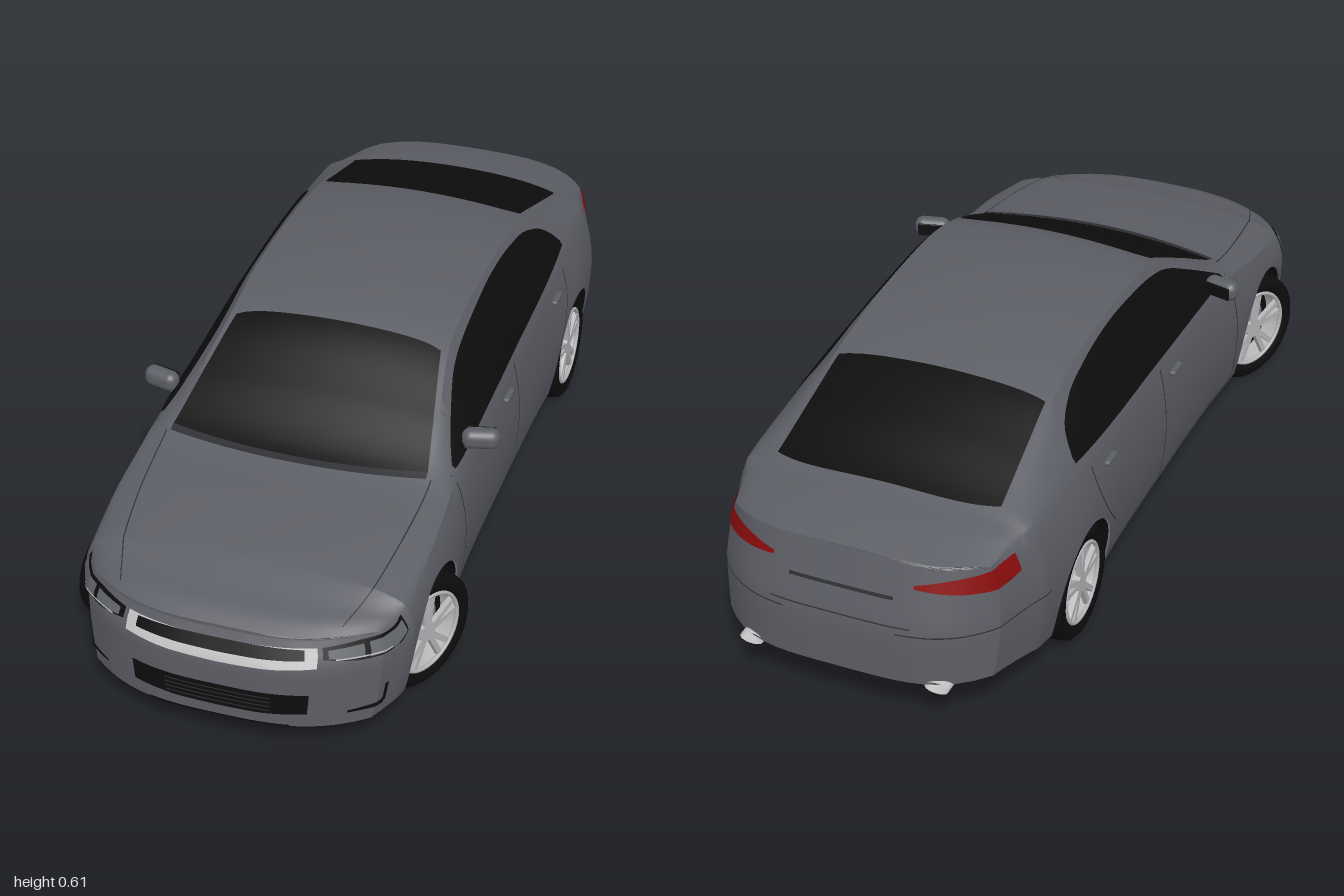
import * as THREE from 'three';
import { toCreasedNormals } from 'three/addons/utils/BufferGeometryUtils.js';
import { RoundedBoxGeometry } from 'three/addons/geometries/RoundedBoxGeometry.js';

const paint = (name, color) => new THREE.MeshStandardMaterial({ name, color, side: THREE.DoubleSide });
const { clamp, lerp } = THREE.MathUtils;

// Body stations: z, half width, belt y, belt x, rail x, rail y, centre-line y
const ROWS = [
  [-1, .325, .39, .30, .25, .402, .412], [-.94, .338, .397, .31, .26, .41, .426],
  [-.87, .352, .405, .32, .27, .42, .44], [-.77, .368, .415, .335, .285, .432, .456],
  [-.6, .387, .425, .345, .275, .488, .515], [-.45, .385, .425, .352, .262, .54, .562],
  [-.3, .378, .42, .355, .258, .57, .592], [-.1, .375, .41, .355, .258, .582, .605],
  [.05, .375, .406, .355, .258, .578, .597], [.17, .375, .403, .355, .26, .553, .575],
  [.33, .378, .40, .355, .285, .478, .498], [.46, .385, .387, .358, .30, .412, .43],
  [.5, .387, .378, .36, .30, .40, .416], [.65, .387, .35, .365, .30, .375, .393],
  [.8, .378, .32, .358, .30, .345, .365], [.9, .366, .305, .348, .29, .325, .338],
  [.96, .35, .302, .34, .28, .316, .325], [1, .335, .295, .325, .28, .303, .308]];
const spine = new THREE.CubicInterpolant(ROWS.map(r => r[0]), ROWS.flatMap(r => r.slice(1)), 6);
const ARCHES = [{ z: .645, y: .14, r: .155 }, { z: -.535, y: .136, r: .15 }];

const base = z => .085 + Math.max(0, -z - .6) * .1;
const archAt = z => ARCHES.find(a => Math.abs(z - a.z) < a.r);
function bottom(z) {
  const a = archAt(z);
  return a ? Math.max(base(z), a.y + Math.sqrt(a.r ** 2 - (z - a.z) ** 2)) : base(z);
}

// Half cross-section from the sill up to the centre line
function section(z, yb = base(z)) {
  const [W, B, BX, RX, RY, T] = spine.evaluate(clamp(z, -1, 1));
  const pts = [];
  for (let k = 0; k <= 8; k++) {
    const y = lerp(yb, B, k / 8);
    pts.push([y > .25 ? W - (W - BX) * ((y - .25) / (B - .25)) ** 2 : W * (1 - .06 * ((.25 - y) / .17) ** 2), y]);
  }
  for (let k = 1; k <= 4; k++) pts.push([lerp(BX, RX, k / 4) + .008 * Math.sin(Math.PI * k / 4), lerp(B, RY, k / 4)]);
  for (let k = 6; k >= 0; k--) pts.push([RX * k / 7 * 7 / 7, RY + (T - RY) * (1 - (k / 7) ** 2)]);
  return pts;
}
function xAt(y, z) {
  const p = section(z);
  if (y <= p[0][1]) return p[0][0];
  for (let i = 1; i < p.length; i++) if (y <= p[i][1])
    return lerp(p[i - 1][0], p[i][0], (y - p[i - 1][1]) / (p[i][1] - p[i - 1][1]));
  return 0;
}
function yAt(x, z) {
  const p = section(z);
  for (let i = p.length - 1; i > 0; i--) if (Math.abs(x) <= p[i - 1][0])
    return lerp(p[i][1], p[i - 1][1], (Math.abs(x) - p[i][0]) / (p[i - 1][0] - p[i][0]));
  return p[0][1];
}
// Rounds the nose and tail in plan and tucks in their upper edges
function warp(x, y, z) {
  const f = clamp((z - .8) / .2, 0, 1), r = clamp((-z - .75) / .25, 0, 1), ax = Math.abs(x);
  const nose = .16 * (ax / .38) ** 3 + .03 * clamp((y - .24) / .06, 0, 1);
  const tail = .12 * (ax / .33) ** 4 + .045 * clamp((y - .25) / .16, 0, 1);
  return [x, y, z - f * nose + r * tail];
}
// Point on the nose (end 1) or tail (end -1); |a| > 1 runs back along the side
function wrap(end, a, y, off) {
  const s = Math.sign(a), m = Math.abs(a), z = m <= 1 ? end : end * (1 - (m - 1) * .25);
  const p = warp(s * xAt(y, z) * Math.min(m, 1), y, z);
  return [p[0] + s * off * Math.min(m, 1), p[1], p[2] + end * off];
}
const along = (arr, t) => {
  const f = t * (arr.length - 1), i = Math.min(Math.floor(f), arr.length - 2);
  return lerp(arr[i], arr[i + 1], f - i);
};

export function createModel() {
  const car = new THREE.Group();
  const body = paint('body grey', 0x5c5e65), black = paint('black', 0x0d0d0d), silver = paint('alloy silver', 0xb4b5b7),
    chrome = paint('chrome', 0xc4c4c4), red = paint('lamp red', 0x8a0c0c), lens = paint('lamp lens', 0x63666b),
    metal = paint('underbody metal', 0x77797c), seam = paint('seam grey', 0x2e2f33);

  const add = (name, geo, mat, parent = car, x = 0, y = 0, z = 0) => {
    const m = new THREE.Mesh(geo, mat);
    m.name = name; m.position.set(x, y, z); parent.add(m);
    return m;
  };
  const surface = (name, mat, nu, nv, fn) => {
    const pos = [], idx = [];
    for (let j = 0; j <= nv; j++) for (let i = 0; i <= nu; i++) pos.push(...fn(i, j));
    for (let j = 0; j < nv; j++) for (let i = 0; i < nu; i++) {
      const a = j * (nu + 1) + i, c = a + nu + 1;
      idx.push(a, a + 1, c, a + 1, c + 1, c);
    }
    const g = new THREE.BufferGeometry();
    g.setAttribute('position', new THREE.Float32BufferAttribute(pos, 3));
    g.setIndex(idx);
    return add(name, toCreasedNormals(g, .6), mat);
  };
  const decal = (name, mat, end, a0, a1, lo, hi, off = .003) => surface(name, mat, 28, 5, (i, j) =>
    wrap(end, lerp(a0, a1, i / 28), lerp(along(lo, i / 28), along(hi, i / 28), j / 5), off));

  // Body shell with wheel arches, closed nose and tail
  const stations = [];
  for (let i = 0; i <= 90; i++) stations.push(-1 + i / 45);
  for (const a of ARCHES) {
    for (let k = 0; k <= 20; k++) stations.push(a.z + a.r * .9999 * Math.cos(Math.PI * k / 20));
    stations.push(a.z + a.r + .0005, a.z - a.r - .0005);
  }
  stations.sort((p, q) => p - q);
  const loops = stations.map(z => {
    const h = section(z, bottom(z));
    return [...h, ...h.slice(0, -1).reverse().map(([x, y]) => [-x, y])].map(([x, y]) => warp(x, y, z));
  });
  surface('bodyShell', body, loops[0].length - 1, loops.length - 1, (i, j) => loops[j][i]);
  for (const end of [1, -1]) {
    const h = section(end);
    surface(end > 0 ? 'frontFascia' : 'rearFascia', body, 20, h.length - 1, (i, j) =>
      warp(end * h[j][0] * (i / 10 - 1), h[j][1], end));
  }
  surface('floorPan', body, 8, stations.length - 1, (i, j) => {
    const z = stations[j], w = archAt(z) ? .2 : xAt(base(z), z);
    return warp(w * (i / 4 - 1), base(z), z);
  });

  // Wheel wells
  for (const a of ARCHES) for (const s of [1, -1]) {
    const rim = i => {
      const t = Math.PI * (clamp(i, 1, 19) - 1) / 18, z = a.z + a.r * Math.cos(t);
      return [i < 1 || i > 19 ? base(z) : a.y + a.r * Math.sin(t), z];
    };
    surface('wheelWell', black, 20, 1, (i, j) => { const [y, z] = rim(i); return [s * (j ? .2 : xAt(y, z) - .004), y, z]; });
    surface('wheelWellWall', black, 20, 1, (i, j) => { const [y, z] = rim(i); return [s * .2, j ? base(z) : y, z]; });
  }

  // Glass
  surface('windscreen', black, 24, 20, (i, j) => {
    const s = i / 12 - 1, t = j / 20, x = s * lerp(.30, .245, t);
    const z = lerp(.497 - .04 * s * s, .172 + .012 * s ** 8, t);
    return [x, yAt(x, z) + .004, z + .001];
  });
  surface('wiperCowl', seam, 24, 2, (i, j) => {
    const s = i / 12 - 1, x = s * .3, z = .515 - .04 * s * s - j * .009;
    return [x, yAt(x, z) + .005, z];
  });
  surface('rearWindow', black, 24, 18, (i, j) => {
    const s = i / 12 - 1, t = j / 18, x = s * lerp(.25, .265, t);
    const z = lerp(-.457 - .008 * s ** 8, -.772 + .03 * s ** 4, t);
    return [x, yAt(x, z) + .004, z];
  });
  const winZ = [-.52, -.5, -.42, -.3, -.15, 0, .1, .2, .3, .41];
  const winTop = new THREE.CubicInterpolant(winZ, [.45, .48, .527, .556, .57, .566, .553, .525, .474, .412], 1);
  for (const s of [1, -1]) {
    surface('sideWindows', black, 60, 8, (i, j) => {
      const z = lerp(.41, -.52, i / 60), lo = lerp(.405, .438, i / 60);
      const y = lerp(lo, Math.max(lo, winTop.evaluate(z)[0]), j / 8);
      return [s * (xAt(y, z) + .004), y + .001, z];
    });
    // Door seams, handles and bonnet edges
    for (const [zt, zb, yb] of [[.43, .45, .1], [-.04, -.03, .1], [-.47, -.365, .2]])
      surface('doorSeam', seam, 1, 14, (i, j) => {
        const t = j / 14, y = lerp(.402, yb, t), z = lerp(zt, zb, t * t) + i * .004;
        return [s * (xAt(y, z) + .002), y, z];
      });
    surface('sillSeam', seam, 24, 1, (i, j) => {
      const z = lerp(-.36, .45, i / 24), y = .1 + j * .003;
      return [s * (xAt(y, z) + .002), y, z];
    });
    surface('bonnetSeam', seam, 24, 1, (i, j) => {
      const t = i / 24, z = lerp(.47, .97, t), x = lerp(.31, .25, t * t) + j * .003;
      const p = warp(s * x, yAt(x, z), z);
      return [p[0], p[1] + .002, p[2]];
    });
    for (const [z, y] of [[.04, .362], [-.38, .372]])
      add('doorHandle', new RoundedBoxGeometry(.016, .014, .055, 3, .006), body, car, s * (xAt(y, z) + .004), y, z);

    // Door mirrors
    const mirror = new THREE.Group();
    mirror.name = 'doorMirror';
    mirror.position.set(s * .381, .433, .318);
    mirror.rotation.y = s * .25;
    car.add(mirror);
    add('mirrorShell', new RoundedBoxGeometry(.086, .048, .042, 5, .02), body, mirror);
    add('mirrorGlass', new RoundedBoxGeometry(.066, .032, .004, 2, .0015), black, mirror, 0, 0, -.021);
    add('mirrorArm', new RoundedBoxGeometry(.05, .014, .024, 2, .005), body, mirror, -s * .04, -.02, 0).rotation.z = s * .4;

    // Lamps, fog recesses and exhaust tips
    decal('headlightFrame', black, 1, s * .67, s * 1.5, [.262, .252, .25, .254, .27], [.286, .293, .294, .301, .309], .003);
    decal('headlightInner', lens, 1, s * .7, s * .9, [.265, .259], [.282, .287], .006);
    decal('headlightOuter', lens, 1, s * .93, s * 1.44, [.257, .256, .273], [.288, .293, .302], .006);
    decal('headlightStrip', silver, 1, s * .74, s * 1.1, [.262, .26], [.265, .263], .008);
    decal('fogRecess', black, 1, s * .84, s * 1.1, [.118, .116], [.124, .13]);
    decal('fogEdge', black, 1, s * 1.07, s * 1.12, [.118, .122], [.168, .168]);
    decal('tailLight', red, -1, s * .52, s * 1.45, [.353, .345, .338, .339, .345], [.361, .375, .383, .387, .389]);
    decal('rearBumperSeam', seam, -1, s * .4, s * 2.1, [.247, .247], [.25, .25], .002);
    add('exhaustTip', new THREE.CylinderGeometry(.02, .02, .07, 20, 1, true).rotateX(Math.PI / 2).scale(1.4, .7, 1),
      chrome, car, s * .22, .122, -.95);
  }

  // Grille, intake and rear trim
  decal('grilleSurround', chrome, 1, -.64, .64, [.245, .238, .235, .238, .245], [.286, .284, .282, .284, .286], .003);
  decal('grille', black, 1, -.56, .56, [.262, .259, .258, .259, .262], [.284, .285, .285, .285, .284], .006);
  decal('lowerIntake', black, 1, -.6, .6, [.122, .116, .115, .116, .122], [.174, .172, .172, .172, .174], .003);
  for (let k = 0; k < 4; k++) decal('intakeSlat', seam, 1, -.36, .36, [.126 + k * .011, .126 + k * .011], [.129 + k * .011, .129 + k * .011], .005);
  decal('frontLip', black, 1, -.5, .5, [.086, .086], [.091, .091], .003);
  decal('bootRecess', seam, -1, -.38, .38, [.322, .322], [.33, .33], .003);
  decal('bootSeam', seam, -1, -.5, .5, [.262, .262], [.265, .265], .002);

  // Wheels: front pair turned towards -x
  const axle = g => g.rotateZ(-Math.PI / 2);
  const tyreProfile = [[.096, -.036], [.112, -.044], [.127, -.044], [.137, -.035], [.14, -.018], [.14, .018],
    [.137, .035], [.127, .044], [.112, .044], [.096, .036]].map(p => new THREE.Vector2(...p));
  const tyreGeo = axle(new THREE.LatheGeometry(tyreProfile, 48));
  const barrelGeo = axle(new THREE.CylinderGeometry(.098, .092, .074, 40, 1, true));
  const lipGeo = new THREE.TorusGeometry(.096, .005, 8, 40).rotateY(Math.PI / 2);
  const spokeGeo = new THREE.BoxGeometry(.012, .078, .013);
  const disc = (r, w) => axle(new THREE.CylinderGeometry(r, r, w, 32));
  for (const a of ARCHES) for (const s of [1, -1]) {
    const front = a.z > 0, k = front ? 1 : .975;
    const wheel = new THREE.Group();
    wheel.name = front ? 'frontWheel' : 'rearWheel';
    wheel.position.set(s * .332, .14 * k, a.z);
    wheel.rotation.y = (s < 0 ? Math.PI : 0) - (front ? .43 : 0);
    wheel.scale.setScalar(k);
    car.add(wheel);
    add('tyre', tyreGeo, black, wheel);
    add('rimBarrel', barrelGeo, silver, wheel);
    add('rimLip', lipGeo, silver, wheel, .038);
    add('wheelBack', disc(.094, .006), black, wheel, -.012);
    add('brakeDisc', disc(.066, .008), metal, wheel, -.002);
    add('hub', disc(.024, .03), silver, wheel, .024);
    for (let n = 0; n < 10; n++) {
      const spoke = new THREE.Group();
      spoke.name = 'spoke';
      spoke.rotation.x = Math.floor(n / 2) * Math.PI * .4 + (n % 2 ? .17 : -.17);
      wheel.add(spoke);
      add('spokeBar', spokeGeo, silver, spoke, .033, .057, 0);
    }
  }

  // Exhaust and suspension under the floor
  const path = new THREE.CatmullRomCurve3([[.03, .09, .6], [.04, .08, .3], [.03, .08, -.3], [.08, .09, -.5], [.05, .1, -.75]]
    .map(p => new THREE.Vector3(...p)));
  add('exhaustPipe', new THREE.TubeGeometry(path, 40, .011, 10), metal);
  add('silencer', new THREE.CapsuleGeometry(.03, .12, 6, 16).rotateZ(Math.PI / 2), metal, car, 0, .11, -.8);
  add('tailPipe', new THREE.CylinderGeometry(.012, .012, .44, 12).rotateZ(Math.PI / 2), metal, car, 0, .118, -.92);
  for (const a of ARCHES) {
    add('axleShaft', new THREE.CylinderGeometry(.014, .014, .6, 12).rotateZ(Math.PI / 2), metal, car, 0, .13, a.z);
    add('subframe', new THREE.BoxGeometry(.38, .02, .06), metal, car, 0, .085, a.z - .05);
  }
  return car;
}
